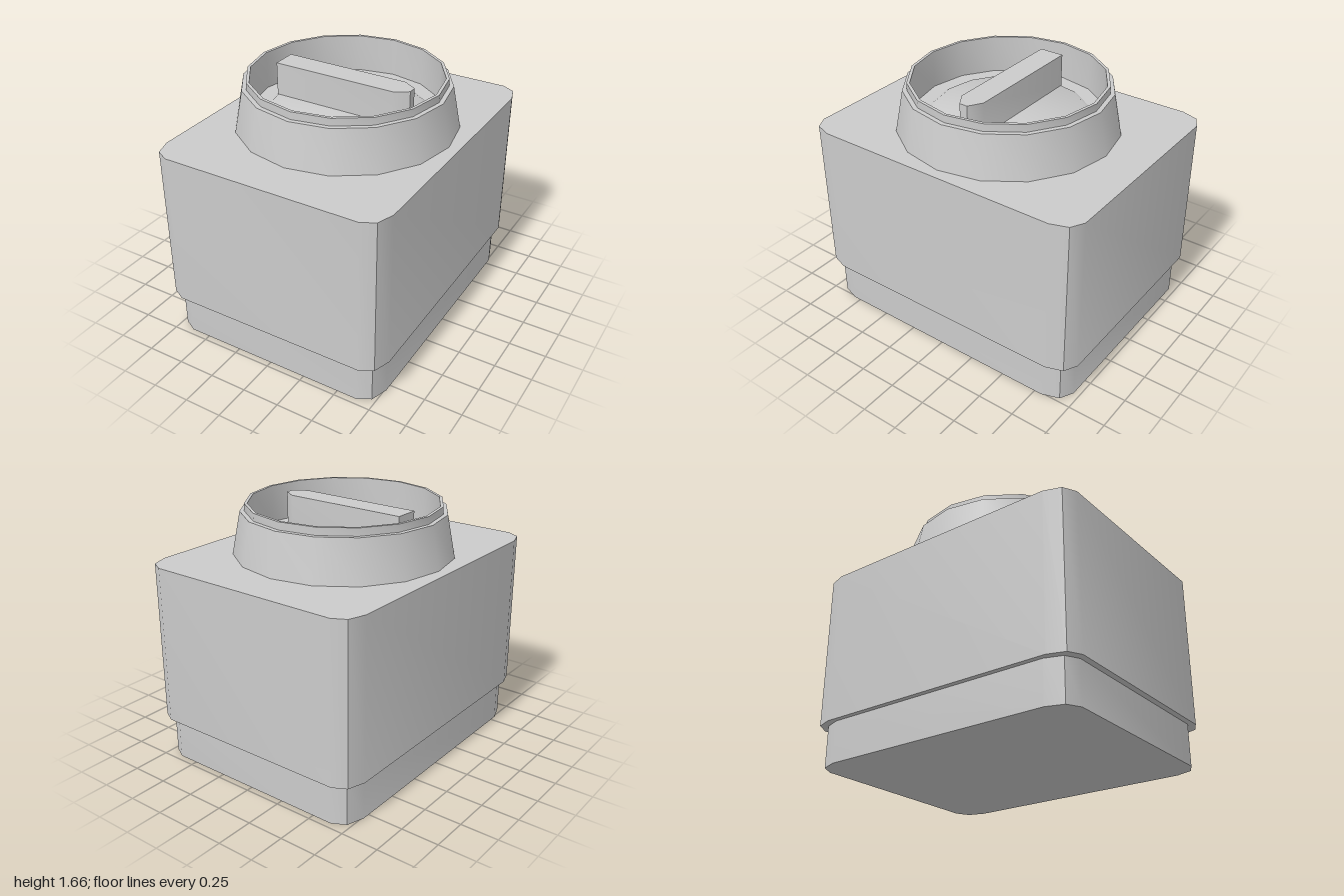
import * as THREE from 'three';
import { toCreasedNormals } from 'three/addons/utils/BufferGeometryUtils.js';

const material = new THREE.MeshStandardMaterial({ color: 0xcccccc });
const CREASE = 0.6;

function addPart(group, name, geometry) {
  const mesh = new THREE.Mesh(toCreasedNormals(geometry, CREASE), material);
  mesh.name = name;
  group.add(mesh);
}

// Upright prism from a plan outline of [x, z] points
function prism(outline, bottom, top) {
  const shape = new THREE.Shape(outline.map(([x, z]) => new THREE.Vector2(x, -z)));
  const geometry = new THREE.ExtrudeGeometry(shape, { depth: top - bottom, bevelEnabled: false });
  return geometry.rotateX(-Math.PI / 2).translate(0, bottom, 0);
}

// Rectangle with two-step cut corners, mirrored from one quarter
function cutRectangle(hx, hz) {
  const quarter = [[hx, hz - 0.16], [hx - 0.038, hz - 0.047], [hx - 0.125, hz]];
  const flip = (points, sx, sz) => points.map(([x, z]) => [x * sx, z * sz]);
  const reversed = [...quarter].reverse();
  return [
    ...quarter, ...flip(reversed, -1, 1),
    ...flip(quarter, -1, -1), ...flip(reversed, 1, -1),
  ];
}

// Sixteen-sided turned part from [radius, y] points
function turned(profile) {
  return new THREE.LatheGeometry(profile.map(([r, y]) => new THREE.Vector2(r, y)), 16);
}

export function createModel() {
  const group = new THREE.Group();
  group.name = 'rotarySwitch';

  // Housing: recessed base below a larger body
  addPart(group, 'base', prism(cutRectangle(0.76, 0.96), 0, 0.28));
  addPart(group, 'body', prism(cutRectangle(0.795, 1), 0.28, 1.33));

  // Tapered collar with a thin rim and a sunken floor
  addPart(group, 'collar', turned([
    [0.725, 1.33], [0.67, 1.61], [0.64, 1.61], [0.64, 1.66],
    [0.62, 1.66], [0.62, 1.41], [0.5, 1.41],
  ]));

  // Low dial inside the collar
  addPart(group, 'dial', turned([[0.52, 1.41], [0.49, 1.43], [0, 1.43]]));

  // Grip bar with a pointer end
  addPart(group, 'handle', prism([
    [-0.48, 0.083], [0.37, 0.083], [0.46, 0.028],
    [0.46, -0.028], [0.37, -0.083], [-0.48, -0.083],
  ], 1.42, 1.65));

  return group;
}
